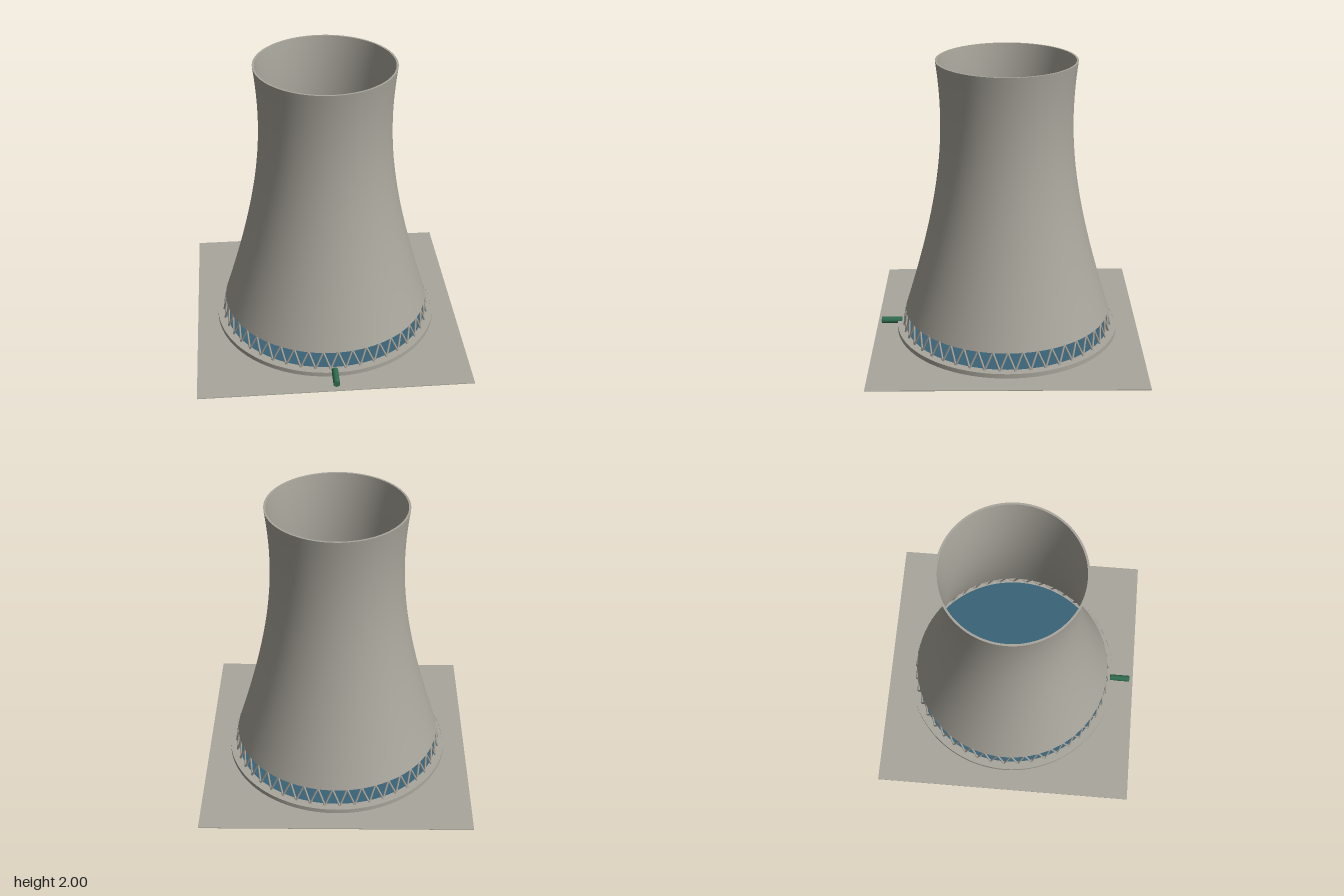
import * as THREE from 'three';

const concrete = new THREE.MeshStandardMaterial({ color: 0xa9a69c });
concrete.name = 'concrete';
const waterBlue = new THREE.MeshStandardMaterial({ color: 0x3a6379 });
waterBlue.name = 'water blue';
const pipeGreen = new THREE.MeshStandardMaterial({ color: 0x2f6b4f });
pipeGreen.name = 'pipe green';

const SEGMENTS = 96;
const BASE_Y = 0.16, TOP_Y = 2, BASIN_Y = 0.036;

// Hyperbolic shell: narrowest at the throat, flaring above and below
const shellRadius = (y) => 0.458 * Math.sqrt(1 + ((y - 1.6) / 1.142) ** 2);

function addMesh(group, name, geometry, material) {
  const mesh = new THREE.Mesh(geometry, material);
  mesh.name = name;
  group.add(mesh);
  return mesh;
}

// Closed wall between outer and inner profile; doubled corners stay sharp
function shellGeometry() {
  const steps = 40, wall = 0.014;
  const outer = [], inner = [];
  for (let i = 0; i <= steps; i++) {
    const y = THREE.MathUtils.lerp(BASE_Y, TOP_Y, i / steps);
    outer.push(new THREE.Vector2(shellRadius(y), y));
    inner.unshift(new THREE.Vector2(shellRadius(y) - wall, y));
  }
  const profile = [
    ...outer, outer[steps].clone(),
    inner[0].clone(), ...inner,
    inner[steps].clone(), outer[0].clone(),
  ];
  return new THREE.LatheGeometry(profile, SEGMENTS);
}

function ringPoint(radius, y, angle) {
  return new THREE.Vector3(radius * Math.cos(angle), y, radius * Math.sin(angle));
}

// Slim round strut between two points
function addStrut(group, from, to) {
  const axis = to.clone().sub(from);
  const strut = addMesh(group, 'strut', new THREE.CylinderGeometry(0.007, 0.007, axis.length(), 8), concrete);
  strut.position.copy(from).add(to).multiplyScalar(0.5);
  strut.quaternion.setFromUnitVectors(new THREE.Vector3(0, 1, 0), axis.normalize());
}

export function createModel() {
  const model = new THREE.Group();
  model.name = 'coolingTower';

  // Ground slab
  addMesh(model, 'groundSlab', new THREE.BoxGeometry(1.9, 0.005, 1.9), concrete).position.y = 0.0025;

  // Basin with a narrow outer lip
  const basinProfile = [[0.8, 0], [0.8, 0.038], [0.8, 0.038], [0.785, 0.038], [0.785, 0.038],
    [0.785, BASIN_Y], [0.785, BASIN_Y], [0, BASIN_Y]].map(([r, y]) => new THREE.Vector2(r, y));
  addMesh(model, 'basin', new THREE.LatheGeometry(basinProfile, SEGMENTS), concrete);

  // Water surface
  const water = addMesh(model, 'water', new THREE.CircleGeometry(0.74, SEGMENTS), waterBlue);
  water.rotation.x = -Math.PI / 2;
  water.position.y = BASIN_Y + 0.002;

  // Zigzag ring of struts carrying the shell
  const struts = new THREE.Group();
  struts.name = 'supportStruts';
  const count = 45, pitch = (Math.PI * 2) / count;
  for (let i = 0; i < count; i++) {
    const top = ringPoint(shellRadius(BASE_Y) - 0.006, BASE_Y + 0.004, i * pitch);
    for (const side of [-0.5, 0.5]) {
      addStrut(struts, ringPoint(0.755, BASIN_Y - 0.003, (i + side) * pitch), top);
    }
  }
  model.add(struts);

  // Tower shell
  addMesh(model, 'shell', shellGeometry(), concrete);

  // Inlet pipe at the front
  const pipe = addMesh(model, 'inletPipe', new THREE.CylinderGeometry(0.023, 0.023, 0.15, 20), pipeGreen);
  pipe.rotation.x = Math.PI / 2;
  pipe.position.set(0, 0.036, 0.845);

  return model;
}
